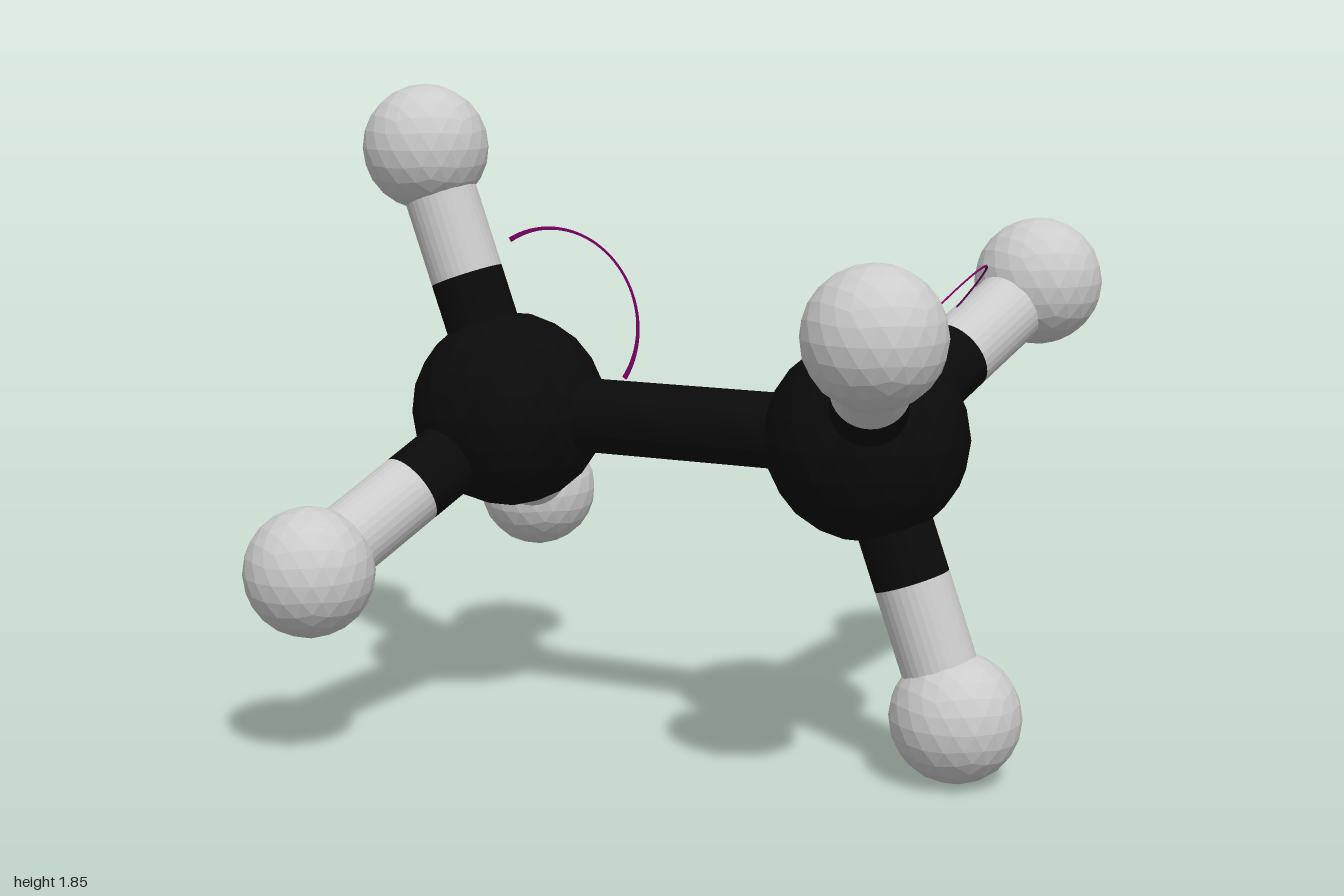
import * as THREE from 'three';

const Y = 0.935;          // height of the central axis
const BOND_R = 0.105;

const black = new THREE.MeshStandardMaterial({ color: 0x0a0a0a, flatShading: true });
const grey = new THREE.MeshStandardMaterial({ color: 0xcccccc, flatShading: true });
const purple = new THREE.MeshStandardMaterial({ color: 0x800068, side: THREE.DoubleSide });

// Faceted ball with a vertex at its top
function ball(name, radius, pos, material) {
  const geo = new THREE.IcosahedronGeometry(radius, 3);
  geo.rotateX(-Math.atan((1 + Math.sqrt(5)) / 2));
  const mesh = new THREE.Mesh(geo, material);
  mesh.name = name;
  mesh.position.copy(pos);
  return mesh;
}

// Straight rod between two points
function rod(name, a, b, material) {
  const dir = b.clone().sub(a);
  const geo = new THREE.CylinderGeometry(BOND_R, BOND_R, dir.length(), 32);
  const mesh = new THREE.Mesh(geo, material);
  mesh.name = name;
  mesh.position.copy(a).add(b).multiplyScalar(0.5);
  mesh.quaternion.setFromUnitVectors(new THREE.Vector3(0, 1, 0), dir.normalize());
  return mesh;
}

// Thin flat arc, symmetric about local +y, wider towards its ends
function angleArc(name, radius) {
  const half = 1.345, n = 40, outer = [], inner = [];
  for (let i = 0; i <= n; i++) {
    const t = (i / n) * 2 - 1;
    const w = 0.003 + 0.004 * t * t;
    const s = Math.sin(t * half), c = Math.cos(t * half);
    outer.push(new THREE.Vector2(s * (radius + w), c * (radius + w)));
    inner.push(new THREE.Vector2(s * (radius - w), c * (radius - w)));
  }
  const shape = new THREE.Shape([...outer, ...inner.reverse()]);
  const geo = new THREE.ExtrudeGeometry(shape, { depth: 0.004, bevelEnabled: false });
  geo.translate(0, 0, -0.002);
  const mesh = new THREE.Mesh(geo, purple);
  mesh.name = name;
  return mesh;
}

export function createModel() {
  const model = new THREE.Group();
  model.name = 'molecule';

  // Two mirrored ends, twisted half a step against each other
  for (const side of [-1, 1]) {
    const end = new THREE.Group();
    end.name = side < 0 ? 'rightEnd' : 'leftEnd';
    const centre = new THREE.Vector3(side * 0.553, Y, 0);
    end.add(ball('carbonBall', 0.28, centre, black));

    for (let k = 0; k < 3; k++) {
      const a = (k * 2 * Math.PI) / 3;
      const tip = new THREE.Vector3(side * 0.819, Y - side * 0.745 * Math.cos(a), 0.745 * Math.sin(a));
      const mid = centre.clone().lerp(tip, 0.51);
      end.add(rod('bondInnerHalf', centre, mid, black));
      end.add(rod('bondOuterHalf', mid, tip, grey));
      end.add(ball('hydrogenBall', 0.181, tip, grey));
    }
    model.add(end);
  }

  // Bond along the axis
  model.add(rod('centralBond', new THREE.Vector3(-0.5, Y, 0), new THREE.Vector3(0.5, Y, 0), black));

  // Arc between the upright bond and the central bond
  const frontArc = angleArc('bondAngleArc', 0.268);
  frontArc.position.set(-0.405, 1.195, 0);
  frontArc.rotation.z = -0.80;
  model.add(frontArc);

  // Arc between the two upper bonds of the left end
  const sideArc = angleArc('endAngleArc', 0.266);
  const across = new THREE.Vector3(0.07, -0.06, 1).normalize();
  const up = new THREE.Vector3(0.66, 0.75, 0).normalize();
  const normal = new THREE.Vector3().crossVectors(across, up).normalize();
  up.crossVectors(normal, across);
  sideArc.quaternion.setFromRotationMatrix(new THREE.Matrix4().makeBasis(across, up, normal));
  sideArc.position.set(0.685, 1.21, -0.02);
  model.add(sideArc);

  return model;
}
